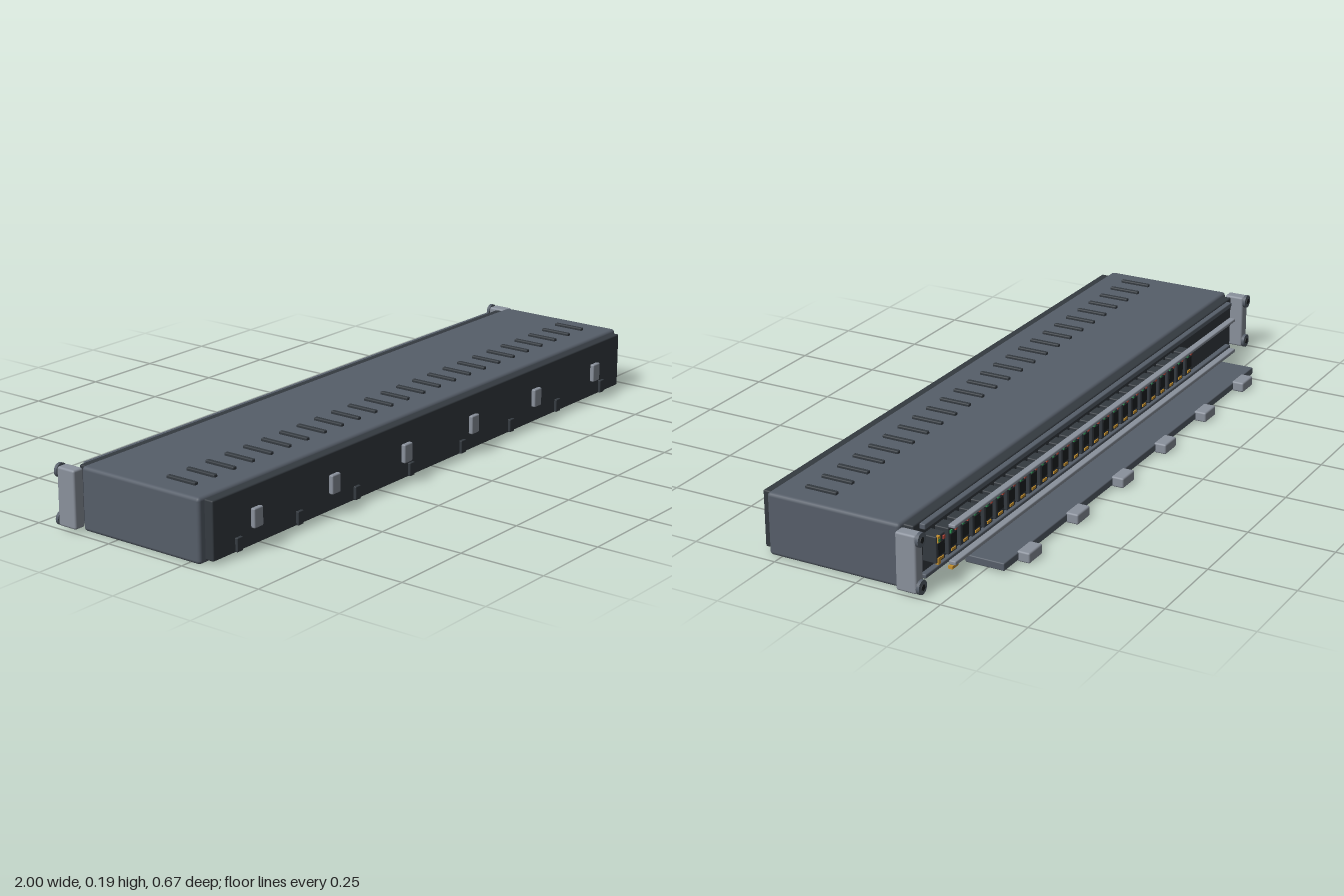
import * as THREE from 'three';
import { RoundedBoxGeometry } from 'three/addons/geometries/RoundedBoxGeometry.js';

const mat = (name, color) => {
  const m = new THREE.MeshStandardMaterial({ color });
  m.name = name;
  return m;
};

export function createModel() {
  const slate = mat('slate', 0x565e69);
  const dark = mat('charcoal', 0x343a40);
  const light = mat('light grey', 0x8a919c);
  const black = mat('near black', 0x1d2023);
  const amber = mat('amber', 0xc8922e);
  const green = mat('green', 0x2f9e58);
  const red = mat('red', 0xb8473a);

  const root = new THREE.Group();
  root.name = 'rackPanel';

  // Box given by its limits on each axis, with optional rounded edges
  const box = (name, m, [x0, x1], [y0, y1], [z0, z1], r = 0) => {
    const s = [x1 - x0, y1 - y0, z1 - z0];
    const g = r ? new RoundedBoxGeometry(...s, 2, r) : new THREE.BoxGeometry(...s);
    const mesh = new THREE.Mesh(g, m);
    mesh.name = name;
    mesh.position.set((x0 + x1) / 2, (y0 + y1) / 2, (z0 + z1) / 2);
    root.add(mesh);
    return mesh;
  };
  const around = (c, w) => [c - w / 2, c + w / 2];

  // Housing with front and back plates
  box('housing', slate, [-0.972, 0.972], [0.004, 0.182], [-0.116, 0.286], 0.01);
  box('frontPlate', dark, [-0.95, 0.95], [0.013, 0.175], [0.28, 0.312], 0.004);
  box('backPlate', dark, [-0.95, 0.95], [0.013, 0.175], [-0.144, -0.11], 0.004);

  // Cooling slots along the top
  for (let i = 0; i < 25; i++) {
    box('ventSlot', dark, around(-0.898 + i * 0.0747, 0.014), [0.178, 0.19], [0.118, 0.214], 0.003);
  }

  // Front clips and the lower latches
  for (let i = 0; i < 6; i++) {
    box('frontClip', light, around(-0.798 + i * 0.318, 0.036), [0.067, 0.121], [0.321, 0.335], 0.004);
  }
  for (let i = 0; i < 8; i++) {
    box('frontLatch', dark, around(-0.855 + i * 0.2436, 0.022), [0.015, 0.053], [0.308, 0.32], 0.002);
  }

  // Lips that frame the back opening
  box('upperLip', slate, [-0.92, 0.92], [0.155, 0.171], [-0.16, -0.14], 0.003);
  box('lowerLip', slate, [-0.92, 0.92], [0.018, 0.03], [-0.16, -0.14], 0.003);

  // Rack ears with a screw head at each end
  for (const side of [-1, 1]) {
    box('rackEar', light, around(side * 0.98, 0.036), [0.012, 0.175], [-0.179, -0.118], 0.006);
    for (const y of [0.16, 0.028]) {
      const screw = new THREE.Mesh(new THREE.CylinderGeometry(0.02, 0.02, 0.009, 20), slate);
      screw.name = 'earScrew';
      screw.rotation.x = Math.PI / 2;
      screw.position.set(side * 0.98, y, -0.183);
      root.add(screw);
      const socket = new THREE.Mesh(new THREE.CylinderGeometry(0.009, 0.009, 0.003, 6), black);
      socket.name = 'screwSocket';
      socket.rotation.x = Math.PI / 2;
      socket.position.set(side * 0.98, y, -0.188);
      root.add(socket);
    }
  }

  // Row of ports, each with contacts and two status lights
  for (let i = 0; i < 25; i++) {
    const x = 0.885 - i * 0.0603;
    box('port', dark, around(x, 0.044), [0.06, 0.135], [-0.184, -0.14], 0.003);
    box('portOpening', black, around(x, 0.032), [0.08, 0.115], [-0.186, -0.183]);
    box('portContact', amber, around(x, 0.02), [0.067, 0.074], [-0.187, -0.183]);
    box('greenLight', green, around(x + 0.012, 0.008), [0.119, 0.128], [-0.188, -0.183]);
    box('redLight', red, around(x - 0.012, 0.008), [0.119, 0.128], [-0.188, -0.183]);
  }

  // Power terminals at the left end
  for (const y of [0.066, 0.126]) {
    box('powerTerminal', amber, around(0.897, 0.012), around(y, 0.018), [-0.187, -0.178]);
  }
  box('groundTerminal', amber, around(0.84, 0.03), [0.026, 0.034], [-0.199, -0.186]);

  // Cable rails above and below the ports
  box('upperRail', light, [-0.85, 0.85], [0.139, 0.149], [-0.206, -0.185], 0.003);
  box('lowerRail', light, [-0.855, 0.85], [0.035, 0.047], [-0.206, -0.185], 0.003);

  // Cable tray and its end clips
  box('cableTray', slate, [-0.776, 0.77], [0.008, 0.03], [-0.302, -0.186], 0.003);
  for (let i = 0; i < 6; i++) {
    box('trayClip', light, around(-0.667 + i * 0.2655, 0.07), [0.004, 0.034], [-0.335, -0.297], 0.005);
  }

  return root;
}
